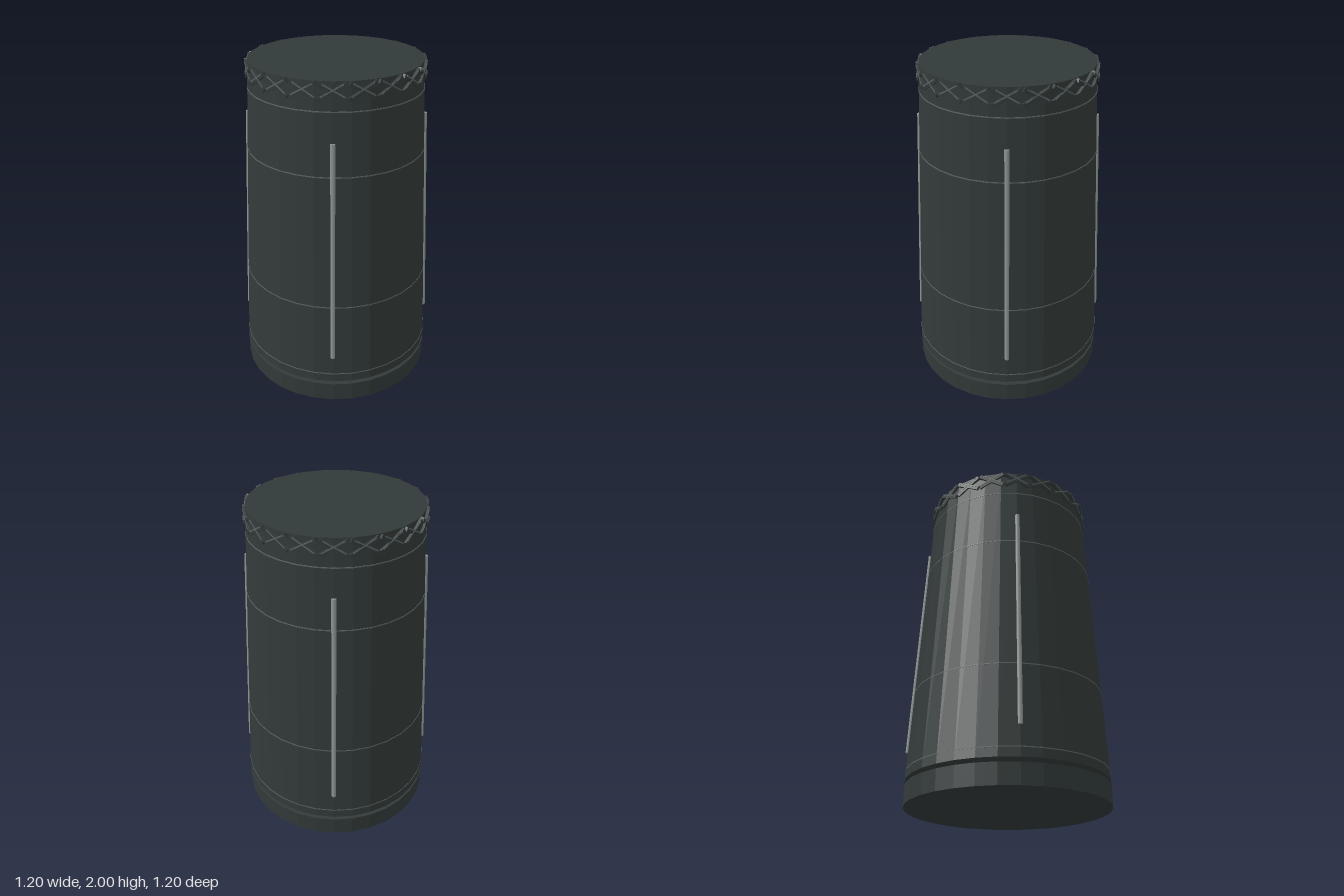
import * as THREE from 'three';

const SIDES = 32;
const flat = (name, color) => {
  const m = new THREE.MeshStandardMaterial({ color });
  m.name = name;
  return m;
};

// Radius of the tapered body at a given height
const radiusAt = (y) => 0.595 - 0.0505 * (y - 0.14);

export function createModel() {
  const model = new THREE.Group();
  model.name = 'taperedCup';
  const shell = flat('dark shell', 0x323a39);
  const trim = flat('light trim', 0x8c9593);
  const seam = flat('seam grey', 0x5a6462);

  const add = (name, geometry, material, parent = model) => {
    const mesh = new THREE.Mesh(geometry, material);
    mesh.name = name;
    parent.add(mesh);
    return mesh;
  };

  // Faceted frustum between two heights
  const frustum = (name, y0, r0, y1, r1, material, open = false) => {
    const g = new THREE.CylinderGeometry(r1, r0, y1 - y0, SIDES, 1, open).toNonIndexed();
    g.computeVertexNormals();
    add(name, g, material).position.y = (y0 + y1) / 2;
  };

  // Base, recessed groove and tapered body
  frustum('base', 0, 0.595, 0.12, 0.595, shell);
  frustum('groove', 0.12, 0.565, 0.145, 0.595, shell, true);
  frustum('body', 0.145, radiusAt(0.145), 2, radiusAt(2) - 0.001, shell);

  // Fine seam rings around the body
  for (const y of [0.2, 0.67, 1.48, 1.84]) {
    const h = 0.003;
    frustum('seamRing', y - h, radiusAt(y - h) + 0.0015, y + h, radiusAt(y + h) + 0.0015, seam);
  }

  // Four raised strips that follow the taper
  const low = 0.32, high = 1.67;
  const tilt = Math.atan2(radiusAt(low) - radiusAt(high), high - low);
  for (let i = 0; i < 4; i++) {
    const side = new THREE.Group();
    side.name = 'stripSide';
    side.rotation.y = (i * Math.PI) / 2;
    model.add(side);
    const strip = add('strip', new THREE.CylinderGeometry(0.0135, 0.0135, (high - low) / Math.cos(tilt), 8), trim, side);
    strip.position.set(0, (low + high) / 2, radiusAt((low + high) / 2));
    strip.rotation.x = -tilt;
  }

  // Crossed bars around the rim, each with a thin pale ridge
  const crosses = 20, slant = 0.52;
  const barGeometry = new THREE.BoxGeometry(0.17, 0.024, 0.022);
  const ridgeGeometry = new THREE.BoxGeometry(0.14, 0.007, 0.006);
  for (let i = 0; i < crosses; i++) {
    const cross = new THREE.Group();
    cross.name = 'rimCross';
    cross.rotation.y = (i / crosses) * Math.PI * 2;
    model.add(cross);
    for (const s of [-1, 1]) {
      const bar = add('rimBar', barGeometry, shell, cross);
      bar.position.set(0, 1.946, 0.5);
      bar.rotation.z = s * slant;
      const ridge = add('rimRidge', ridgeGeometry, seam, bar);
      ridge.position.set(0, 0.008, 0.01);
    }
  }
  return model;
}
